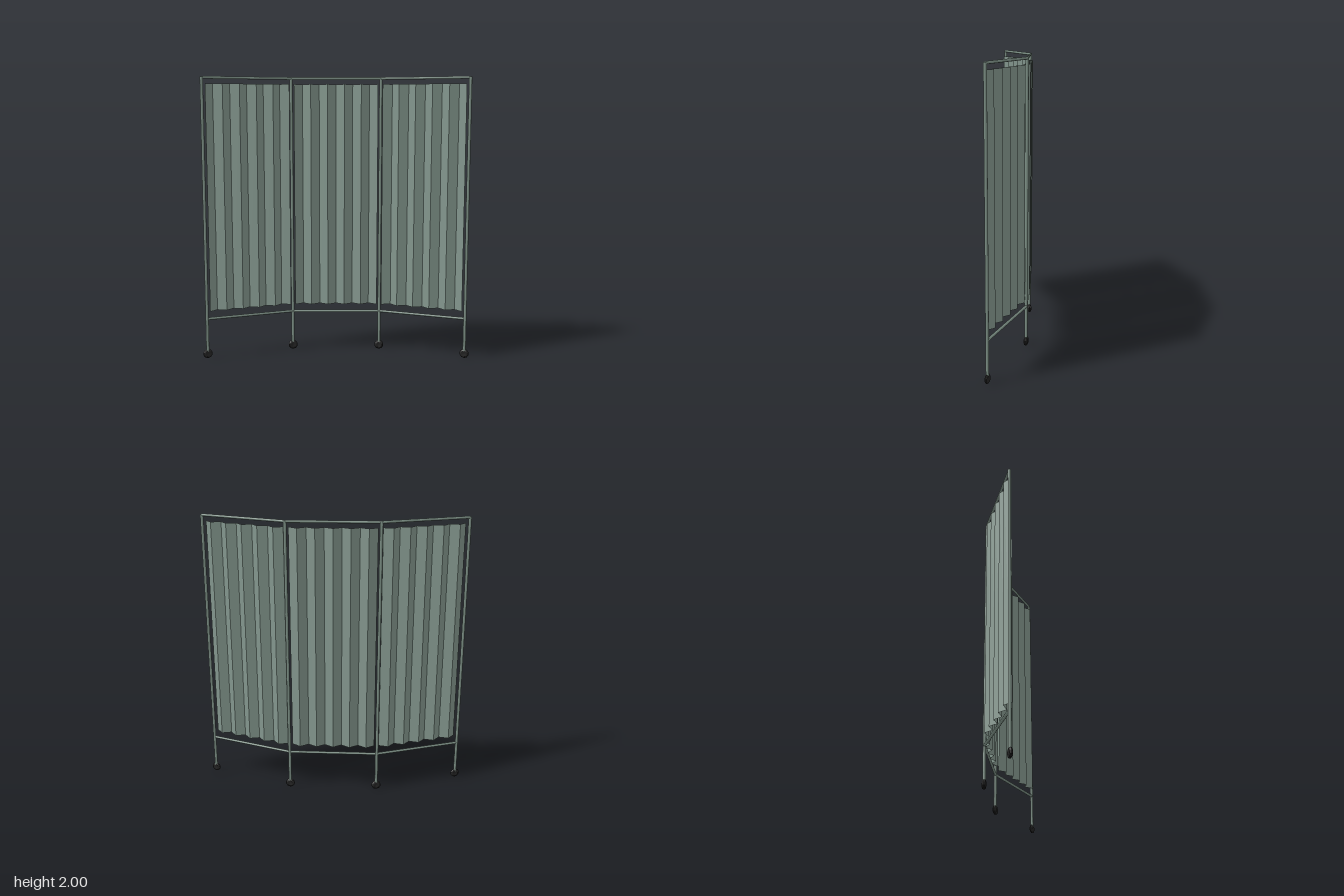
import * as THREE from 'three';

const frameMat = new THREE.MeshStandardMaterial({ color: 0x7a8d83 });
frameMat.name = 'frame grey green';
const clothMat = new THREE.MeshStandardMaterial({ color: 0x82958c, side: THREE.DoubleSide, flatShading: true });
clothMat.name = 'cloth grey green';
const wheelMat = new THREE.MeshStandardMaterial({ color: 0x222222, flatShading: true });
wheelMat.name = 'wheel black';

const HALF = 0.32;          // half the width between the posts of a panel
const TILT = Math.PI / 9;   // fold of the side panels
const BACK = -0.108;        // z of the middle panel

function add(group, name, geometry, material, x, y, z = 0) {
  const mesh = new THREE.Mesh(geometry, material);
  mesh.name = name;
  mesh.position.set(x, y, z);
  group.add(mesh);
  return mesh;
}

// Pleated sheet: a zigzag in plan, extruded straight up
function pleatedCloth(width, depth, bottom, top, folds) {
  const pos = [], index = [];
  for (let i = 0; i <= folds; i++) {
    const x = -width / 2 + (width * i) / folds;
    const z = i % 2 ? -depth : depth;
    pos.push(x, bottom, z, x, top, z);
    if (i < folds) {
      const a = i * 2;
      index.push(a, a + 2, a + 3, a, a + 3, a + 1);
    }
  }
  const g = new THREE.BufferGeometry();
  g.setAttribute('position', new THREE.Float32BufferAttribute(pos, 3));
  g.setIndex(index);
  const flat = g.toNonIndexed();
  flat.computeVertexNormals();
  return flat;
}

// Small caster with rounded tread, axle along z
function wheelGeometry() {
  const profile = [[0, -0.009], [0.022, -0.011], [0.03, -0.007], [0.034, 0], [0.03, 0.007], [0.022, 0.011], [0, 0.009]]
    .map(([r, y]) => new THREE.Vector2(r, y));
  return new THREE.LatheGeometry(profile, 10).rotateX(Math.PI / 2);
}

function makePanel(name) {
  const panel = new THREE.Group();
  panel.name = name;
  const post = new THREE.CylinderGeometry(0.011, 0.011, 1.945, 10);
  const rail = new THREE.CylinderGeometry(0.0095, 0.0095, HALF * 2, 10).rotateZ(Math.PI / 2);
  const wheel = wheelGeometry();
  for (const s of [-1, 1]) {
    add(panel, 'post', post, frameMat, s * HALF, 1.0225);
    add(panel, 'wheel', wheel, wheelMat, s * HALF, 0.034);
  }
  add(panel, 'topRail', rail, frameMat, 0, 1.9905);
  add(panel, 'bottomRail', rail, frameMat, 0, 0.291);
  add(panel, 'curtain', pleatedCloth(0.6, 0.02, 0.346, 1.95, 10), clothMat, 0, 0);
  return panel;
}

export function createModel() {
  const model = new THREE.Group();
  model.name = 'foldingScreen';

  const middle = makePanel('middlePanel');
  middle.position.z = BACK;
  model.add(middle);

  // Side panels hinge forward from the middle posts
  for (const s of [-1, 1]) {
    const side = makePanel(s < 0 ? 'rightPanel' : 'leftPanel');
    side.position.set(s * (HALF + HALF * Math.cos(TILT)), 0, BACK + HALF * Math.sin(TILT));
    side.rotation.y = -s * TILT;
    model.add(side);
  }
  return model;
}
